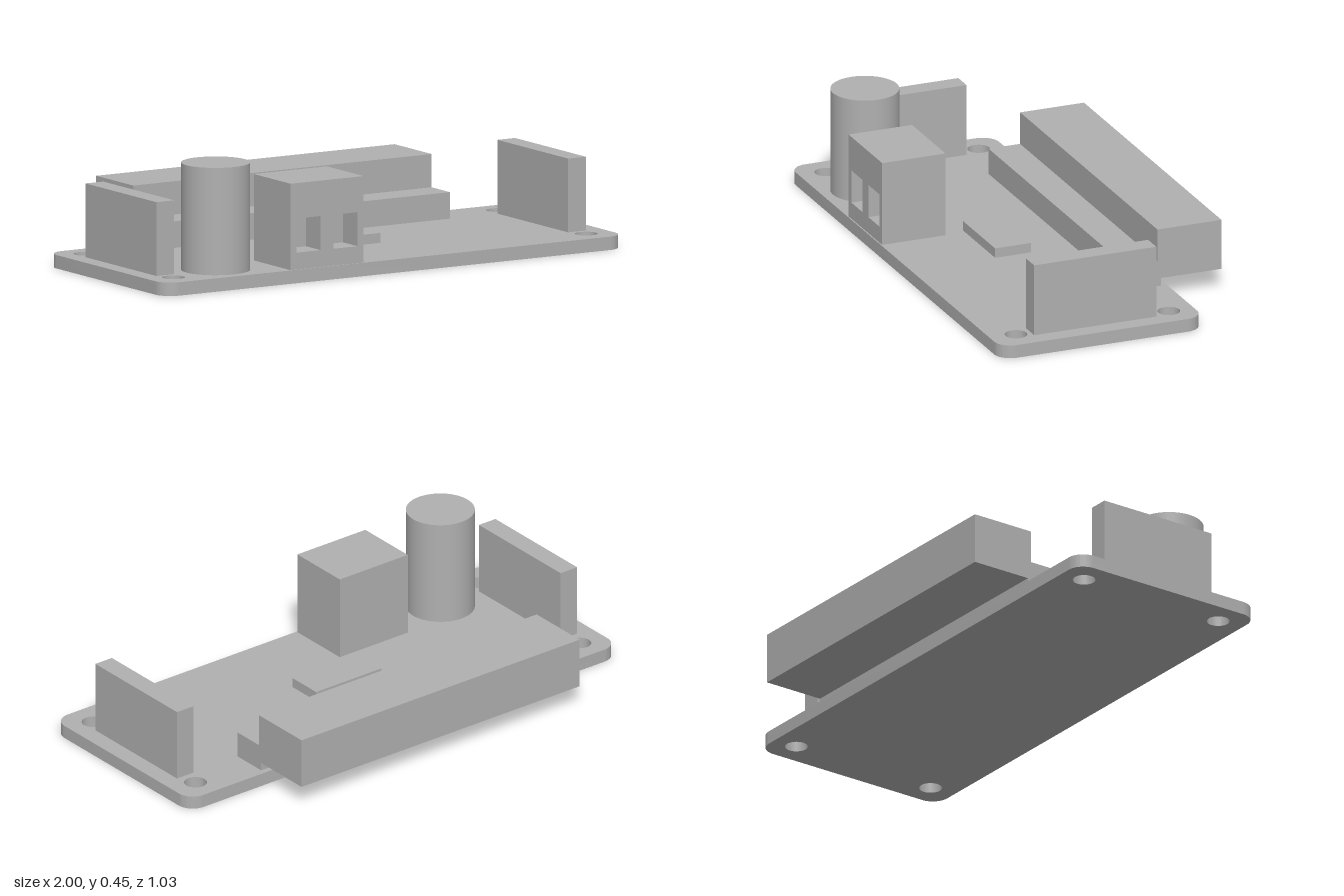
import * as THREE from 'three';
import { toCreasedNormals } from 'three/addons/utils/BufferGeometryUtils.js';

const BOARD_TOP = 0.05;

export function createModel() {
  const group = new THREE.Group();
  const grey = new THREE.MeshStandardMaterial({ color: 0xb0b0b0 });
  grey.name = 'plain grey';

  const add = (name, geometry) => {
    const mesh = new THREE.Mesh(geometry, grey);
    mesh.name = name;
    group.add(mesh);
    return mesh;
  };

  // Box given by its limits on each axis
  const addBox = (name, [x0, x1], [y0, y1], [z0, z1]) => {
    const mesh = add(name, new THREE.BoxGeometry(x1 - x0, y1 - y0, z1 - z0));
    mesh.position.set((x0 + x1) / 2, (y0 + y1) / 2, (z0 + z1) / 2);
  };

  const rectPoints = (x0, x1, y0, y1) => [
    new THREE.Vector2(x0, y0), new THREE.Vector2(x1, y0),
    new THREE.Vector2(x1, y1), new THREE.Vector2(x0, y1),
  ];

  // Circuit board: rounded rectangle with four mounting holes (shape y is -z)
  const x = 1, front = -0.513, back = 0.297, r = 0.065;
  const outline = new THREE.Shape();
  outline.absarc(x - r, back - r, r, 0, Math.PI / 2);
  outline.absarc(-x + r, back - r, r, Math.PI / 2, Math.PI);
  outline.absarc(-x + r, front + r, r, Math.PI, Math.PI * 1.5);
  outline.absarc(x - r, front + r, r, Math.PI * 1.5, Math.PI * 2);
  for (const hx of [-0.897, 0.897]) {
    for (const hz of [-0.2, 0.41]) {
      const hole = new THREE.Path();
      hole.absarc(hx, -hz, 0.042, 0, Math.PI * 2, true);
      outline.holes.push(hole);
    }
  }
  const board = new THREE.ExtrudeGeometry(outline, {
    depth: BOARD_TOP, bevelEnabled: false, curveSegments: 16,
  });
  board.rotateX(-Math.PI / 2);
  add('circuitBoard', toCreasedNormals(board, Math.PI / 5));

  // Upright plates at both ends
  addBox('leftEndPlate', [0.855, 0.932], [BOARD_TOP, 0.325], [-0.135, 0.352]);
  addBox('rightEndPlate', [-0.935, -0.858], [BOARD_TOP, 0.325], [-0.135, 0.352]);

  // Capacitor
  const capacitor = add('capacitor', new THREE.CylinderGeometry(0.127, 0.127, 0.4, 48));
  capacitor.position.set(-0.675, 0.25, 0.348);

  // Terminal block: solid rear and a front part with two blind sockets
  const socketDepth = 0.1, blockFront = 0.508;
  addBox('terminalBlockRear', [-0.45, -0.133], [BOARD_TOP, 0.372],
    [0.255, blockFront - socketDepth]);
  const face = new THREE.Shape(rectPoints(-0.45, -0.133, BOARD_TOP, 0.372));
  for (const sx of [-0.424, -0.263]) {
    face.holes.push(new THREE.Path(rectPoints(sx, sx + 0.104, 0.113, 0.24)));
  }
  const blockFace = add('terminalBlockFront', new THREE.ExtrudeGeometry(face, {
    depth: socketDepth, bevelEnabled: false,
  }));
  blockFace.position.z = blockFront - socketDepth;

  // Chip
  addBox('chip', [-0.155, 0.15], [BOARD_TOP, 0.087], [0.035, 0.177]);

  // Edge connector: stepped profile (z, y) run along x
  const profile = new THREE.Shape([
    [-0.134, 0.05], [-0.134, 0.149], [-0.26, 0.149], [-0.26, 0.273],
    [-0.515, 0.273], [-0.515, 0.08], [-0.274, 0.08], [-0.274, 0.05],
  ].map(([z, y]) => new THREE.Vector2(z, y)));
  const connector = new THREE.ExtrudeGeometry(profile, { depth: 1.297, bevelEnabled: false });
  connector.translate(0, 0, -1.297 / 2);
  connector.rotateY(-Math.PI / 2);
  add('edgeConnector', connector);

  return group;
}
